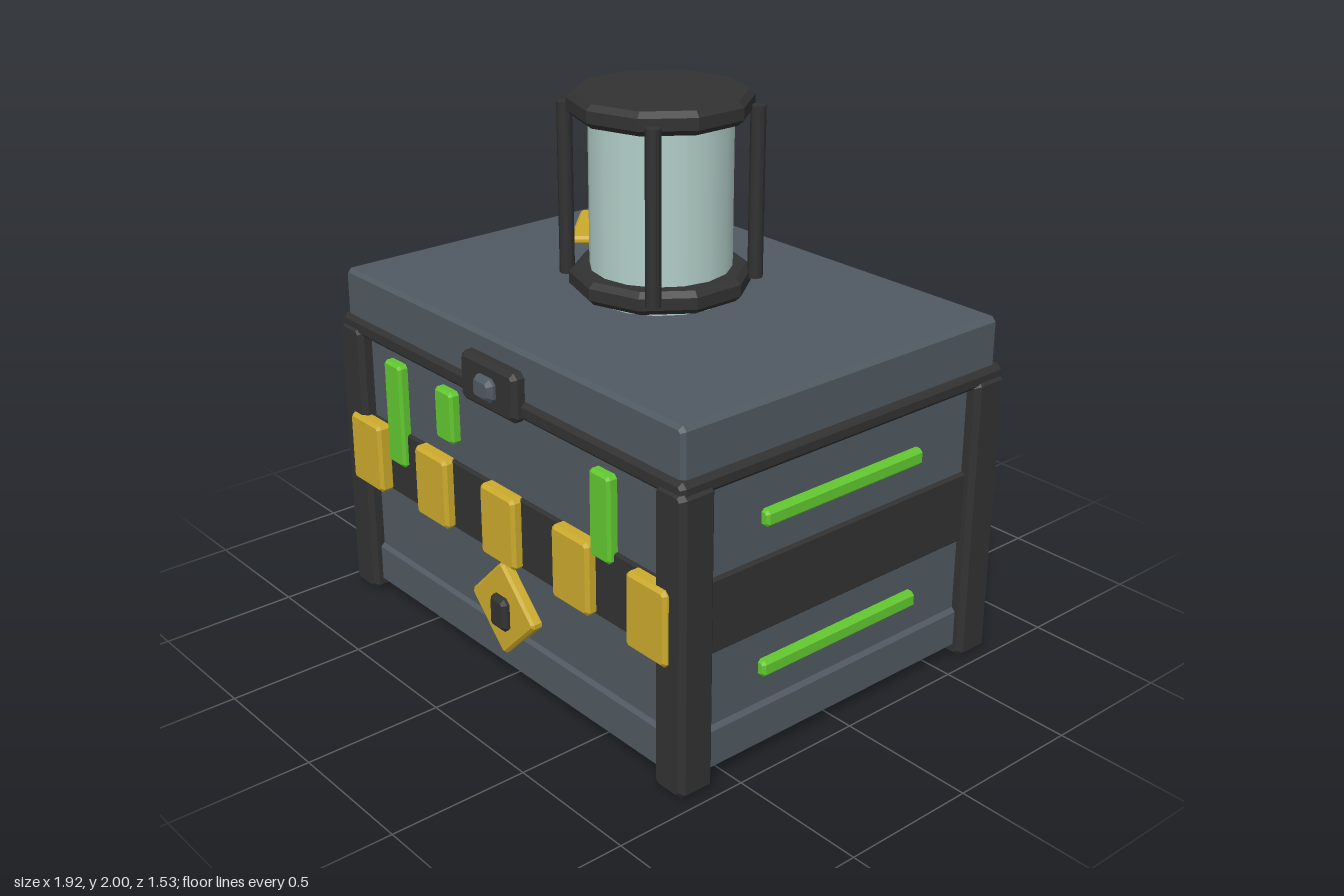
import * as THREE from 'three';

const mat = (name, color) => {
  const m = new THREE.MeshStandardMaterial({ color });
  m.name = name;
  return m;
};

export function createModel() {
  const root = new THREE.Group();
  root.name = 'crate';
  const slate = mat('slate', 0x505a62);
  const dark = mat('charcoal', 0x323232);
  const yellow = mat('hazardYellow', 0xcbaa2c);
  const green = mat('glowGreen', 0x62c830);
  const glass = mat('paleGlass', 0xb2cec8);
  const ZC = -0.015; // depth centre of the crate

  const add = (name, geometry, material, x, y, z) => {
    const mesh = new THREE.Mesh(geometry, material);
    mesh.name = name;
    mesh.position.set(x, y, z);
    root.add(mesh);
    return mesh;
  };

  // Box with every edge chamfered by b
  const chamferBox = (w, h, d, b) => {
    const x = w / 2 - b, y = h / 2 - b, c = b * 0.6;
    const s = new THREE.Shape();
    s.moveTo(-x + c, -y);
    [[x - c, -y], [x, -y + c], [x, y - c], [x - c, y], [-x + c, y], [-x, y - c], [-x, -y + c]]
      .forEach(p => s.lineTo(...p));
    s.closePath();
    const g = new THREE.ExtrudeGeometry(s, {
      depth: d - 2 * b, bevelEnabled: true, bevelSegments: 1, bevelSize: b, bevelThickness: b,
    });
    return g.translate(0, 0, -d / 2 + b);
  };

  // Chamfered box given by its limits on each axis
  const block = (name, material, [x0, x1], [y0, y1], [z0, z1], b = 0.01) =>
    add(name, chamferBox(x1 - x0, y1 - y0, z1 - z0, b), material,
      (x0 + x1) / 2, (y0 + y1) / 2, (z0 + z1) / 2);

  // Body, plinth, belt, rim and lid
  block('body', slate, [-0.91, 0.91], [0.04, 1.08], [-0.7, 0.67], 0.02);
  block('plinth', slate, [-0.925, 0.925], [0.035, 0.195], [-0.715, 0.685], 0.012);
  block('belt', dark, [-0.925, 0.925], [0.465, 0.73], [-0.715, 0.685], 0.006);
  block('rim', dark, [-0.95, 0.95], [1.045, 1.11], [-0.745, 0.712], 0.015);
  block('lid', slate, [-0.93, 0.93], [1.09, 1.283], [-0.72, 0.695], 0.014);

  // Corner posts
  for (const x of [-0.89, 0.89]) for (const z of [-0.675, 0.65])
    block('cornerPost', dark, [x - 0.07, x + 0.07], [0, 1.08], [z - 0.07, z + 0.07], 0.018);

  // Hazard tiles on front and back; the outer ones sit over the posts
  for (const side of [1, -1]) for (let i = -2; i <= 2; i++) {
    const reach = Math.abs(i) === 2 ? 0.752 : 0.737;
    const z = [ZC + side * reach, ZC + side * (reach - 0.06)].sort((a, b) => a - b);
    block('hazardTile', yellow, [i * 0.4 - 0.097, i * 0.4 + 0.097], [0.465, 0.735], z, 0.012);
  }

  // Green strips on the front
  for (const [x, y0] of [[-0.64, 0.6], [-0.32, 0.805], [0.54, 0.69]])
    block('frontGlowStrip', green, [x - 0.052, x + 0.052], [y0, 1.0], [0.66, 0.706], 0.01);

  // Green bars on both sides
  for (const side of [1, -1]) for (const y of [0.87, 0.327]) {
    const x = [side * 0.89, side * 0.94].sort((a, b) => a - b);
    block('sideGlowBar', green, x, [y - 0.03, y + 0.03], [-0.37, 0.35], 0.01);
  }

  // Latch
  block('latchPlate', dark, [-0.155, 0.153], [1.035, 1.212], [0.68, 0.74], 0.016);
  block('latchButton', slate, [-0.053, 0.053], [1.08, 1.165], [0.72, 0.767], 0.016);

  // Front diamond with keyhole
  add('frontDiamond', chamferBox(0.262, 0.262, 0.05, 0.01), yellow, 0, 0.28, 0.685)
    .rotation.z = Math.PI / 4;
  block('keyhole', dark, [-0.046, 0.046], [0.205, 0.332], [0.68, 0.735], 0.014);

  // Diamond plate above the lid
  const plate = chamferBox(0.342, 0.342, 0.032, 0.01).rotateX(-Math.PI / 2).rotateY(Math.PI / 4);
  add('lidDiamond', plate, yellow, -0.565, 1.315, -0.295);

  // Lantern: ten-sided bevelled base and cap
  const ring = (y0, y1, r, b) => {
    const pts = [[0, y0], [r - b, y0], [r, y0 + b], [r, y1 - b], [r - b, y1], [0, y1]]
      .map(p => new THREE.Vector2(...p));
    const g = new THREE.LatheGeometry(pts, 10).toNonIndexed();
    g.computeVertexNormals();
    return g;
  };
  add('lanternBase', ring(1.303, 1.385, 0.32, 0.02), dark, 0, 0, ZC);
  add('lanternCap', ring(1.918, 2.0, 0.32, 0.02), dark, 0, 0, ZC);
  add('lanternGlass', new THREE.CylinderGeometry(0.25, 0.25, 0.67, 16), glass, 0, 1.615, ZC);

  // Lantern rods
  for (const x of [-0.232, 0.232]) for (const z of [-0.232, 0.232])
    add('lanternRod', new THREE.CylinderGeometry(0.027, 0.027, 0.61, 8), dark, x, 1.65, ZC + z);

  return root;
}
